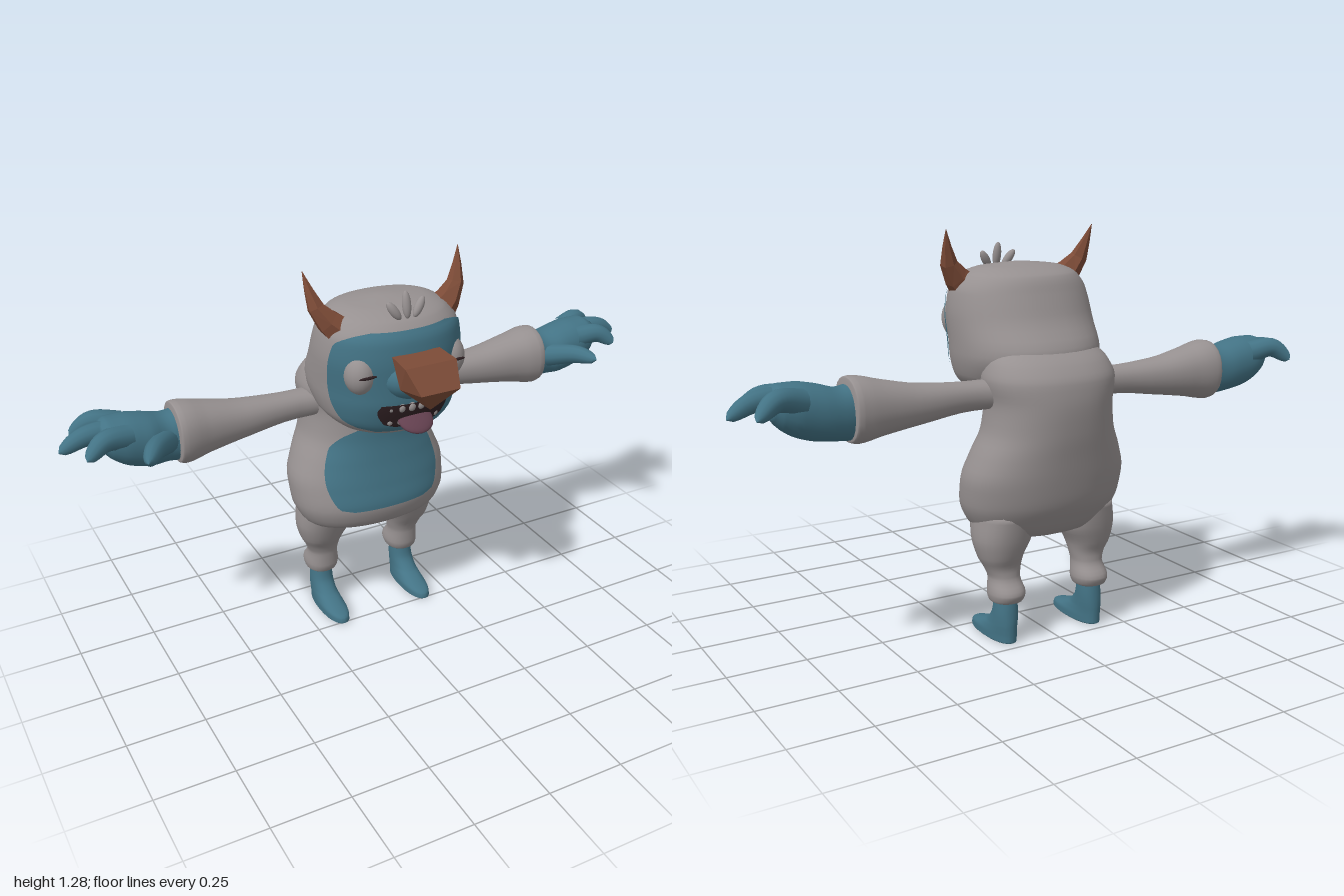
import * as THREE from 'three';
import { ConvexGeometry } from 'three/addons/geometries/ConvexGeometry.js';

const mat = (name, color) => {
  const m = new THREE.MeshStandardMaterial({ color });
  m.name = name;
  return m;
};

// Row values at s; each row is [s, a0, a1, b0, b1], joined by a monotone spline.
function rowAt(rows, s) {
  let i = 0;
  while (i < rows.length - 2 && s > rows[i + 1][0]) i++;
  const p = rows[i], q = rows[i + 1], h = q[0] - p[0], t = (s - p[0]) / h;
  const slope = (k, c) => (rows[k + 1] && rows[k]) ? (rows[k + 1][c] - rows[k][c]) / (rows[k + 1][0] - rows[k][0]) : null;
  const tangent = (k, c) => {
    const l = slope(k - 1, c), r = slope(k, c);
    if (l === null) return r;
    if (r === null) return l;
    return l * r <= 0 ? 0 : (2 * l * r) / (l + r);
  };
  return p.map((v, c) => {
    if (c === 0) return s;
    const m0 = tangent(i, c) * h, m1 = tangent(i + 1, c) * h, t2 = t * t, t3 = t2 * t;
    return (2 * t3 - 3 * t2 + 1) * v + (t3 - 2 * t2 + t) * m0 + (3 * t2 - 2 * t3) * q[c] + (t3 - t2) * m1;
  });
}

// Point on a rounded section at angle th, raised by off.
function sectionPoint(rows, s, th, off = 0) {
  const [, a0, a1, b0, b1] = rowAt(rows, s);
  const soft = (v) => Math.sign(v) * Math.abs(v) ** 0.91;
  return [(a0 + a1) / 2 + ((a1 - a0) / 2 + off) * soft(Math.cos(th)), s,
    (b0 + b1) / 2 + ((b1 - b0) / 2 + off) * soft(Math.sin(th))];
}

function meshFrom(pos, idx) {
  const g = new THREE.BufferGeometry();
  g.setAttribute('position', new THREE.Float32BufferAttribute(pos, 3));
  g.setIndex(idx);
  g.computeVertexNormals();
  return g;
}

// Closed skin over sections; upright by default, or along x when sideways.
function loft(rows, n = 28, sideways = false, sub = 4) {
  const pos = [], idx = [], levels = [];
  const put = ([a, s, b]) => (sideways ? pos.push(s, b, a) : pos.push(a, s, b));
  for (let i = 0; i < rows.length - 1; i++)
    for (let k = 0; k < sub; k++) levels.push(rows[i][0] + (rows[i + 1][0] - rows[i][0]) * k / sub);
  levels.push(rows.at(-1)[0]);
  for (const s of levels)
    for (let j = 0; j < n; j++) put(sectionPoint(rows, s, j / n * Math.PI * 2));
  for (const s of [levels[0], levels.at(-1)]) {
    const r = rowAt(rows, s);
    put([(r[1] + r[2]) / 2, s, (r[3] + r[4]) / 2]);
  }
  const last = levels.length - 1, c0 = levels.length * n, c1 = c0 + 1;
  for (let j = 0; j < n; j++) {
    const k = (j + 1) % n;
    for (let i = 0; i < last; i++) {
      const a = i * n + j, b = a + n, c = i * n + k, d = c + n;
      idx.push(a, b, c, b, d, c);
    }
    idx.push(c0, j, k, c1, last * n + k, last * n + j);
  }
  return meshFrom(pos, idx);
}

// Painted area on the front of a loft; outline is [y, half angle].
function patch(rows, outline, off) {
  const pos = [], idx = [], U = 28, V = 28;
  const shape = outline.map(([y, h]) => [y, h, h, h, h]);
  const y0 = outline[0][0], y1 = outline.at(-1)[0];
  for (let v = 0; v <= V; v++) {
    const y = y0 + (y1 - y0) * v / V, half = rowAt(shape, y)[1];
    for (let u = 0; u <= U; u++) pos.push(...sectionPoint(rows, y, Math.PI / 2 + (u / U * 2 - 1) * half, off));
  }
  for (let v = 0; v < V; v++)
    for (let u = 0; u < U; u++) {
      const a = v * (U + 1) + u, b = a + U + 1;
      idx.push(a, b, a + 1, b, b + 1, a + 1);
    }
  return meshFrom(pos, idx);
}

// Tube along points whose radius follows a rule.
function taper(points, radius, seg, sides) {
  const curve = new THREE.CatmullRomCurve3(points.map((p) => new THREE.Vector3(...p)));
  const g = new THREE.TubeGeometry(curve, seg, 1, sides);
  const p = g.attributes.position, v = new THREE.Vector3();
  for (let i = 0; i < p.count; i++) {
    const t = Math.floor(i / (sides + 1)) / seg, c = curve.getPointAt(t);
    v.fromBufferAttribute(p, i).sub(c).multiplyScalar(radius(t)).add(c);
    p.setXYZ(i, v.x, v.y, v.z);
  }
  return g;
}

function facet(g) {
  const f = g.toNonIndexed();
  f.computeVertexNormals();
  return f;
}

function mirrored(g) {
  const m = g.clone().scale(-1, 1, 1), a = m.index.array;
  for (let i = 0; i < a.length; i += 3) [a[i], a[i + 1]] = [a[i + 1], a[i]];
  return m;
}

const blob = (r, at, rx = 0, rz = 0) => new THREE.SphereGeometry(1, 20, 14)
  .scale(...r).rotateX(rx).rotateZ(rz).translate(...at);

export function createModel() {
  const model = new THREE.Group();
  const fur = mat('grey fur', 0x979191), skin = mat('teal skin', 0x437385), horn = mat('brown horn', 0x7c4b37);
  const pink = mat('plum tongue', 0x63404f), dark = mat('dark', 0x2e1f22);
  const add = (name, g, m) => {
    const mesh = new THREE.Mesh(g, m);
    mesh.name = name;
    model.add(mesh);
  };
  const pair = (name, g, m, finish = (x) => x) => {
    add('left' + name, finish(g), m);
    add('right' + name, finish(mirrored(g)), m);
  };

  // Torso with hunched back, and the head sunk into it
  const sym = ([y, rx, back, front]) => [y, -rx, rx, back, front];
  const torso = [
    [0.325, 0.06, -0.19, -0.09], [0.345, 0.19, -0.235, -0.03], [0.39, 0.245, -0.27, 0.035], [0.45, 0.268, -0.3, 0.05],
    [0.52, 0.272, -0.315, 0.035], [0.6, 0.247, -0.328, 0.015], [0.68, 0.212, -0.34, 0], [0.76, 0.203, -0.345, -0.005],
    [0.83, 0.215, -0.337, -0.01], [0.88, 0.2, -0.305, -0.03], [0.92, 0.165, -0.25, -0.05], [0.94, 0.1, -0.2, -0.1],
  ].map(sym);
  const head = [
    [0.76, 0.1, -0.1, 0.12], [0.78, 0.17, -0.15, 0.165], [0.83, 0.215, -0.22, 0.19], [0.9, 0.23, -0.265, 0.205],
    [1.0, 0.232, -0.205, 0.205], [1.08, 0.222, -0.17, 0.195], [1.13, 0.19, -0.145, 0.16], [1.155, 0.14, -0.09, 0.1],
    [1.168, 0.03, -0.02, 0.02],
  ].map(sym);
  add('torso', loft(torso, 40), fur);
  add('head', loft(head, 40), fur);
  add('bellyPatch', patch(torso, [[0.448, 0.45], [0.46, 0.64], [0.52, 0.77], [0.6, 0.86], [0.65, 0.87], [0.69, 0.68], [0.715, 0.4]], 0.004), skin);
  add('facePatch', patch(head, [[0.79, 0.6], [0.8, 0.85], [0.83, 1.1], [0.885, 1.2], [1.0, 1.28], [1.07, 1.22], [1.1, 0.95], [1.115, 0.6]], 0.004), skin);

  // Snout, nose, mouth, tongue and teeth
  add('snout', blob([0.1, 0.07, 0.08], [0, 0.965, 0.17]), skin);
  const nose = [[0, 0.9, 0.29]];
  for (const s of [-1, 1])
    nose.push([0.08 * s, 1.05, 0.2], [0.085 * s, 1.046, 0.29], [0.065 * s, 0.98, 0.35], [0.08 * s, 0.965, 0.25]);
  add('nose', new ConvexGeometry(nose.map((p) => new THREE.Vector3(...p))), horn);
  add('mouth', patch(head, [[0.81, 0.25], [0.825, 0.42], [0.87, 0.5], [0.892, 0.44]], 0.008), dark);
  add('tongue', blob([0.058, 0.016, 0.055], [0, 0.832, 0.2], 0.55), pink);
  for (let i = 0; i < 6; i++) {
    const x = (i - 2.5) * 0.031;
    add('upperTooth', blob([0.013, 0.015, 0.01], [x, 0.879, 0.207 - x * x * 2.6]), fur);
    if (i < 2 || i > 3) add('lowerTooth', blob([0.011, 0.012, 0.009], [x, 0.83, 0.197 - x * x * 2.6]), fur);
  }

  // Eyes with slit pupils, horns and tuft
  pair('Eye', blob([0.049, 0.065, 0.054], [0.152, 0.985, 0.132]), fur);
  pair('Pupil', blob([0.03, 0.005, 0.005], [0.15, 0.99, 0.184]), dark);
  pair('Horn', taper([[0.165, 1.09, 0.04], [0.23, 1.155, 0.025], [0.263, 1.275, -0.013]], (t) => 0.052 * (1 - t) + 0.001, 4, 6), horn, facet);
  for (const s of [-1, 0, 1])
    add('hairTuft', blob([0.014, s ? 0.034 : 0.042, 0.013], [0.042 * s, s ? 1.165 : 1.178, 0.14], -0.2, -0.6 * s), fur);

  // Sleeves and hands
  pair('Sleeve', loft([
    [0.15, -0.2, -0.09, 0.745, 0.835], [0.25, -0.19, -0.095, 0.745, 0.835], [0.42, -0.205, -0.08, 0.725, 0.845],
    [0.55, -0.22, -0.06, 0.705, 0.87], [0.63, -0.228, -0.045, 0.69, 0.887], [0.65, -0.225, -0.048, 0.695, 0.885],
    [0.655, -0.2, -0.07, 0.72, 0.86]], 24, true), fur);
  pair('Palm', loft([
    [0.63, -0.205, -0.065, 0.7, 0.87], [0.68, -0.21, -0.07, 0.705, 0.86], [0.74, -0.215, -0.05, 0.71, 0.875],
    [0.8, -0.215, -0.05, 0.725, 0.885], [0.85, -0.205, -0.06, 0.755, 0.885], [0.88, -0.18, -0.08, 0.79, 0.87]], 24, true), skin);
  const fingers = {
    BackFinger: [[0.8, 0.835, -0.18], [0.88, 0.85, -0.205], [0.945, 0.805, -0.228]],
    MiddleFinger: [[0.8, 0.84, -0.135], [0.92, 0.84, -0.135], [1, 0.8, -0.14]],
    FrontFinger: [[0.8, 0.835, -0.09], [0.88, 0.84, -0.072], [0.94, 0.8, -0.05]],
    Thumb: [[0.69, 0.79, -0.09], [0.75, 0.81, -0.01], [0.79, 0.805, 0.055]],
  };
  for (const [name, path] of Object.entries(fingers))
    pair(name, taper(path, (t) => 0.039 * (1 - 0.35 * t) * Math.sqrt(1 - t ** 6), 14, 12), skin);

  // Legs with cuffs, and feet
  pair('Leg', loft([
    [0.13, 0.12, 0.19, -0.21, -0.135], [0.14, 0.105, 0.207, -0.235, -0.122], [0.165, 0.098, 0.212, -0.245, -0.115],
    [0.21, 0.105, 0.205, -0.215, -0.115], [0.24, 0.1, 0.215, -0.212, -0.108], [0.28, 0.09, 0.235, -0.225, -0.085],
    [0.34, 0.06, 0.248, -0.24, -0.06], [0.42, 0.05, 0.24, -0.25, -0.03]], 24), fur);
  pair('Foot', loft([
    [0, 0.12, 0.195, -0.215, 0.005], [0.005, 0.115, 0.2, -0.225, 0.013], [0.022, 0.115, 0.2, -0.225, 0.008],
    [0.04, 0.118, 0.198, -0.225, -0.045], [0.06, 0.12, 0.196, -0.225, -0.095], [0.1, 0.12, 0.194, -0.222, -0.13],
    [0.15, 0.122, 0.19, -0.215, -0.14]], 24), skin);
  return model;
}
